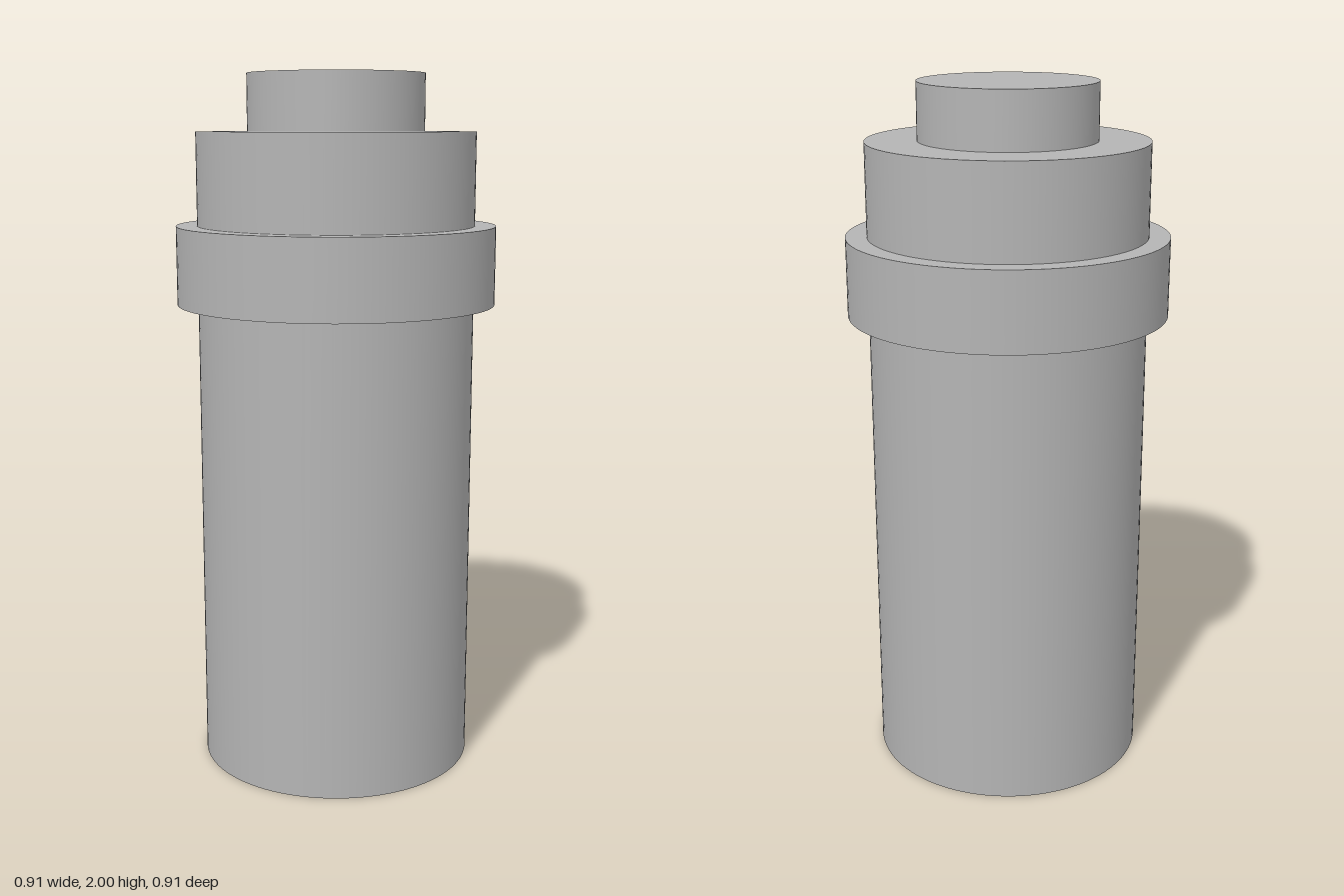
import * as THREE from 'three';

export function createModel() {
  const model = new THREE.Group();
  const grey = new THREE.MeshStandardMaterial({ color: 0xb4b4b4 });
  grey.name = 'grey';

  // Upright closed cylinder between two heights
  const addCylinder = (name, radius, bottom, top) => {
    const geometry = new THREE.CylinderGeometry(radius, radius, top - bottom, 96);
    const mesh = new THREE.Mesh(geometry, grey);
    mesh.name = name;
    mesh.position.y = (bottom + top) / 2;
    model.add(mesh);
  };

  addCylinder('body', 0.396, 0, 1.84);
  addCylinder('collar', 0.456, 1.355, 1.578);
  addCylinder('topStub', 0.251, 1.84, 2);

  return model;
}
